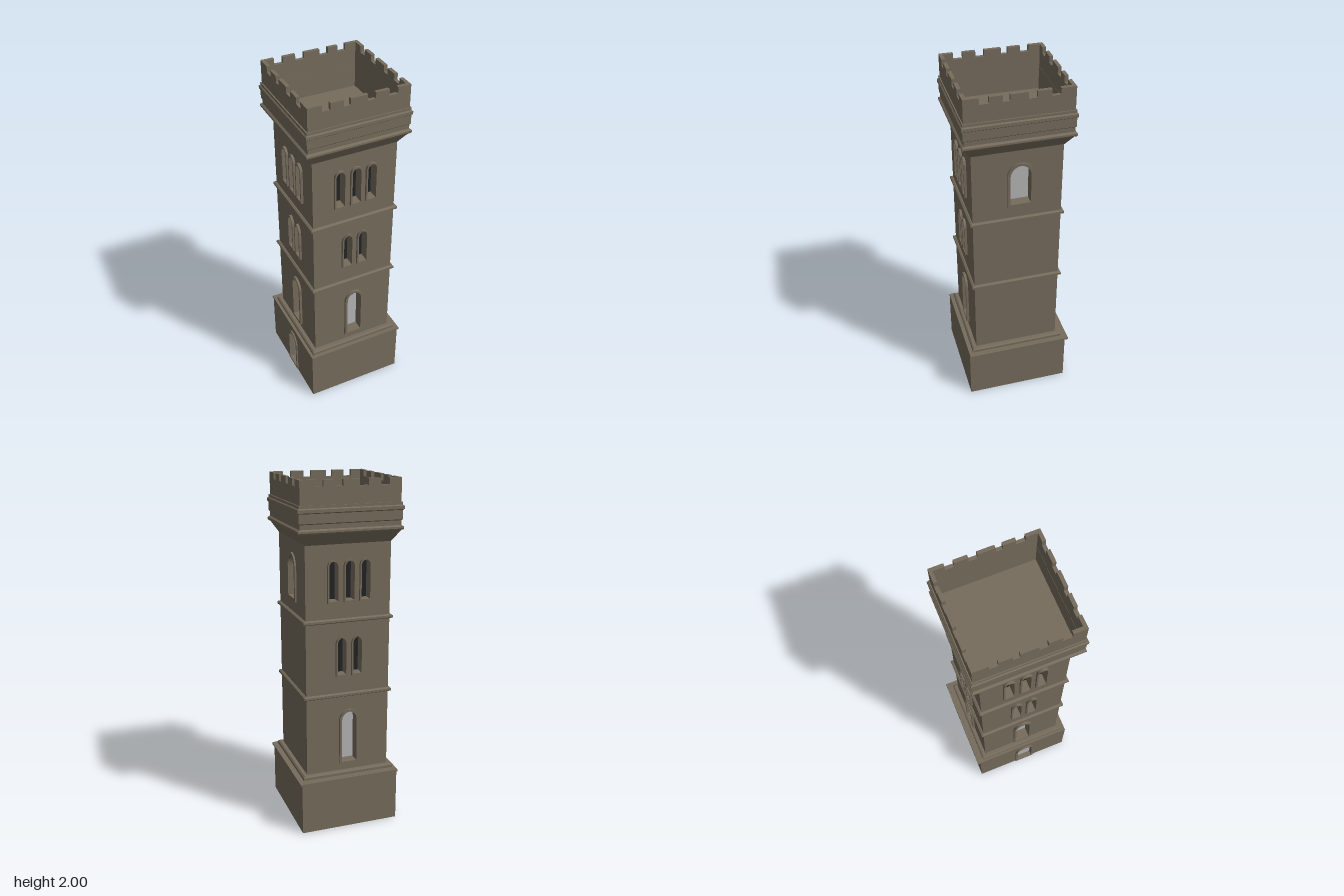
import * as THREE from 'three';

const stone = new THREE.MeshStandardMaterial({ color: 0x766c5c });
stone.name = 'stone';
const darkGlass = new THREE.MeshStandardMaterial({ color: 0x222324 });
darkGlass.name = 'dark glass';
const paleGlass = new THREE.MeshStandardMaterial({ color: 0xb6b6b8 });
paleGlass.name = 'pale glass';

const HX = 0.245, HZ = 0.248;   // half widths of the shaft
const DEPTH = 0.05;             // window recess

function add(parent, name, geometry, material = stone) {
  const mesh = new THREE.Mesh(geometry, material);
  mesh.name = name;
  parent.add(mesh);
  return mesh;
}

// Stacked rectangular cross-sections: profile of [y, half width], closed at both ends
function rectLoft(profile, extraZ) {
  const pos = [];
  const rings = profile.map(([y, h]) => {
    const z = h + extraZ;
    return [[-h, y, z], [h, y, z], [h, y, -z], [-h, y, -z]];
  });
  const quad = (a, b, c, d) => pos.push(...a, ...b, ...c, ...a, ...c, ...d);
  for (let i = 0; i < rings.length - 1; i++) {
    for (let k = 0; k < 4; k++) {
      const n = (k + 1) % 4;
      quad(rings[i][k], rings[i][n], rings[i + 1][n], rings[i + 1][k]);
    }
  }
  const first = rings[0], last = rings[rings.length - 1];
  quad(first[3], first[2], first[1], first[0]);
  quad(...last);
  const g = new THREE.BufferGeometry();
  g.setAttribute('position', new THREE.Float32BufferAttribute(pos, 3));
  g.computeVertexNormals();
  return g;
}

// Arched outline, round or pointed
function arch(path, { u, y0, y1, w, pointed }, grow = 0) {
  const h = w / 2 + grow, bottom = y0 - grow, top = y1 + grow;
  const rise = pointed ? h * 1.5 : h * 1.15;
  const spring = top - rise;
  path.moveTo(u - h, bottom);
  path.lineTo(u + h, bottom);
  path.lineTo(u + h, spring);
  if (pointed) {
    path.quadraticCurveTo(u + h, spring + rise * 0.6, u, top);
    path.quadraticCurveTo(u - h, spring + rise * 0.6, u - h, spring);
  } else {
    path.absellipse(u, spring, h, rise, 0, Math.PI, false, 0);
  }
  path.lineTo(u - h, bottom);
  return path;
}

const extrude = (shape, depth) =>
  new THREE.ExtrudeGeometry(shape, { depth, bevelEnabled: false, curveSegments: 8 });

// Wall slab with arched openings, each with a projecting frame and a recessed pane
function wall(parent, name, half, y0, y1, dist, openings, depth) {
  const shape = new THREE.Shape();
  shape.moveTo(-half, y0);
  shape.lineTo(half, y0);
  shape.lineTo(half, y1);
  shape.lineTo(-half, y1);
  for (const o of openings) shape.holes.push(arch(new THREE.Path(), o, o.rim));
  add(parent, name, extrude(shape, depth)).position.z = dist - depth;
  for (const o of openings) {
    const frame = arch(new THREE.Shape(), o, o.rim);
    frame.holes.push(arch(new THREE.Path(), o));
    add(parent, 'windowFrame', extrude(frame, depth + o.out)).position.z = dist - depth;
    const pane = new THREE.ShapeGeometry(arch(new THREE.Shape(), o, o.rim / 2), 8);
    add(parent, 'windowPane', pane, o.glass).position.z = dist - depth + 0.002;
  }
}

// Parapet wall with square notches
function parapet(parent, half, dist, gaps) {
  const s = new THREE.Shape();
  s.moveTo(-half, 1.86);
  s.lineTo(half, 1.86);
  s.lineTo(half, 2);
  for (const [a, b] of [...gaps].reverse()) {
    s.lineTo(b, 2);
    s.lineTo(b, 1.965);
    s.lineTo(a, 1.965);
    s.lineTo(a, 2);
  }
  s.lineTo(-half, 2);
  add(parent, 'battlement', extrude(s, 0.02)).position.z = dist - 0.02;
}

export function createModel() {
  const model = new THREE.Group();
  model.name = 'tower';
  const tower = new THREE.Group();
  tower.name = 'towerBody';
  tower.position.set(-0.006, 0, 0.008);
  model.add(tower);

  // Base, with a thin front slab on the door side
  add(tower, 'baseCore', new THREE.BoxGeometry(0.555, 0.32, 0.6)).position.set(0.0125, 0.16, 0);
  const doorSide = new THREE.Group();
  doorSide.name = 'doorSide';
  doorSide.rotation.y = -Math.PI / 2;
  tower.add(doorSide);
  wall(doorSide, 'doorWall', 0.3, 0, 0.32, 0.29,
    [{ u: 0.012, y0: 0.025, y1: 0.27, w: 0.1, rim: 0.013, out: 0.008, glass: paleGlass }], 0.025);
  add(tower, 'baseLip', new THREE.BoxGeometry(0.594, 0.012, 0.614)).position.set(0.007, 0.313, -0.009);
  add(tower, 'baseLedge', rectLoft([[0.31, 0.273], [0.335, 0.273], [0.342, 0.265]], 0.003));

  // String courses
  for (const y of [0.807, 1.24]) {
    add(tower, 'stringCourse', rectLoft([[y - 0.012, 0.25], [y - 0.006, 0.26],
      [y + 0.006, 0.26], [y + 0.012, 0.25]], 0.003));
  }

  // Window sets
  const single = { u: 0.006, y0: 0.395, y1: 0.702, w: 0.088, rim: 0.014, out: 0.014, glass: paleGlass };
  const pair = [-0.04, 0.052].map(u =>
    ({ u, y0: 0.929, y1: 1.145, w: 0.05, rim: 0.009, out: 0.014, glass: darkGlass, pointed: true }));
  const triple = [-0.088, 0.006, 0.097].map(u =>
    ({ u, y0: 1.352, y1: 1.569, w: 0.05, rim: 0.009, out: 0.014, glass: darkGlass }));
  const windows = [single, ...pair, ...triple];
  const large = { u: 0.016, y0: 1.338, y1: 1.572, w: 0.114, rim: 0.017, out: 0.01, glass: paleGlass };

  // Four sides: shaft wall and battlement
  const sides = [
    ['front', 0, windows, [[-0.205, -0.16], [-0.087, -0.051], [0.041, 0.086], [0.161, 0.209]]],
    ['east', 1, [large], [[-0.206, -0.156], [-0.087, -0.051], [0.042, 0.088], [0.162, 0.208]]],
    ['back', 2, windows, [[-0.2, -0.153], [-0.096, -0.046], [0.044, 0.094], [0.164, 0.214]]],
    ['west', 3, windows, [[-0.203, -0.156], [-0.085, -0.049], [0.044, 0.092], [0.162, 0.213]]],
  ];
  for (const [name, turn, openings, gaps] of sides) {
    const side = new THREE.Group();
    side.name = name + 'Side';
    side.rotation.y = turn * Math.PI / 2;
    tower.add(side);
    const facing = turn % 2 === 0;
    wall(side, name + 'Wall', facing ? HX : HZ - DEPTH, 0.31, 1.68, facing ? HZ : HX, openings, DEPTH);
    parapet(side, facing ? 0.282 : 0.268, facing ? 0.288 : 0.282, gaps);
  }

  // Flared corbel, mouldings, and the sunken roof deck inside
  add(tower, 'corbelAndDeck', rectLoft([
    [1.66, 0.244], [1.725, 0.286], [1.725, 0.292], [1.732, 0.296], [1.742, 0.296], [1.75, 0.285],
    [1.775, 0.285], [1.78, 0.29], [1.83, 0.29], [1.835, 0.296], [1.852, 0.296], [1.858, 0.289],
    [1.872, 0.289], [1.872, 0.262], [1.74, 0.262],
  ], 0.005));

  return model;
}
